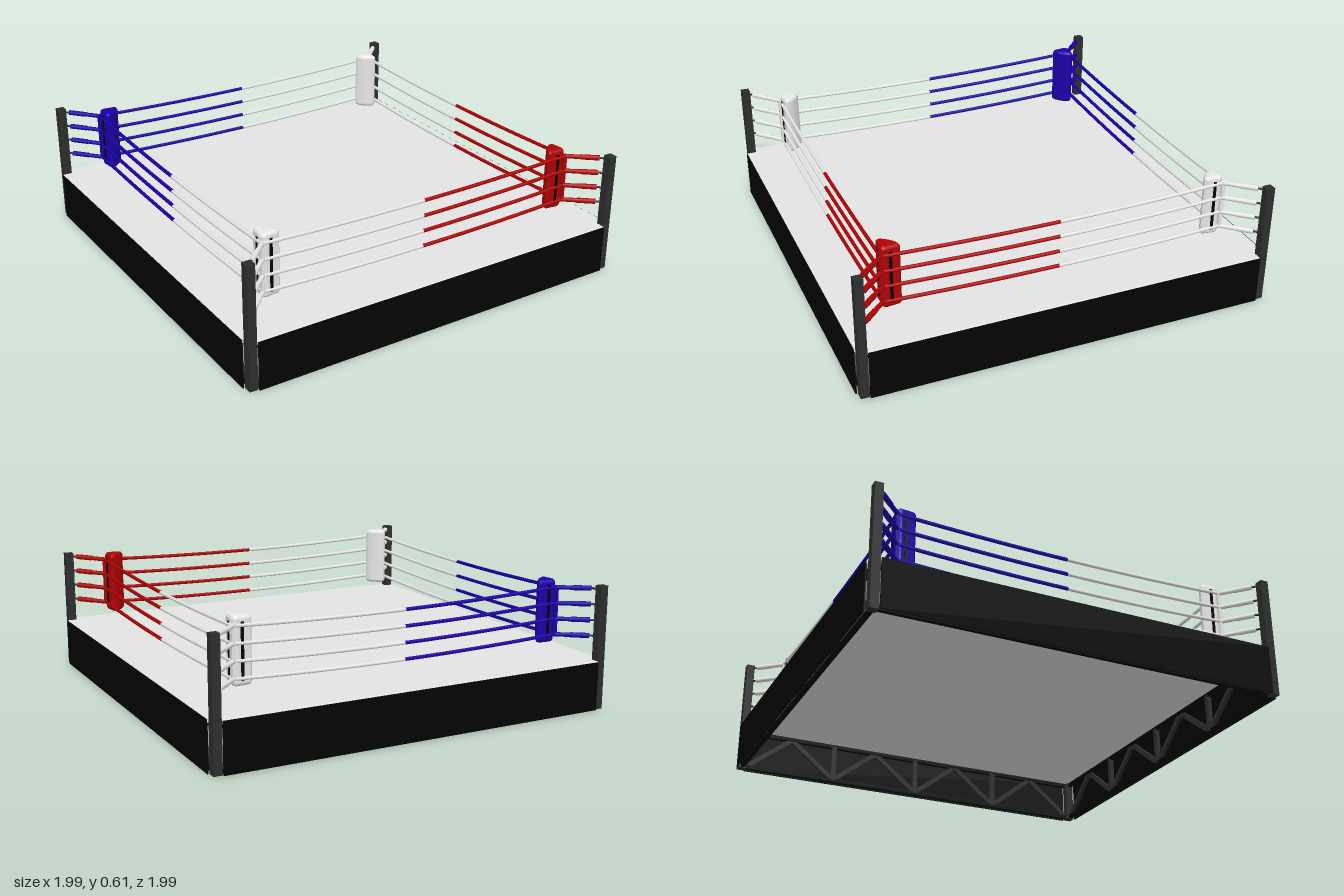
import * as THREE from 'three';

const mat = (name, color) => {
  const m = new THREE.MeshStandardMaterial({ color });
  m.name = name;
  return m;
};

export function createModel() {
  const canvas = mat('canvas grey', 0xe4e4e4);
  const white = mat('white', 0xececec);
  const red = mat('red', 0xb00303);
  const blue = mat('blue', 0x1c00a8);
  const black = mat('skirt black', 0x040404);
  const steel = mat('dark steel', 0x2e2e2e);

  const ring = new THREE.Group();
  ring.name = 'boxingRing';

  const add = (parent, name, geometry, material) => {
    const mesh = new THREE.Mesh(geometry, material);
    mesh.name = name;
    parent.add(mesh);
    return mesh;
  };
  const box = (parent, name, material, size, pos) => {
    const mesh = add(parent, name, new THREE.BoxGeometry(...size), material);
    mesh.position.set(...pos);
    return mesh;
  };
  const rod = (parent, name, material, a, b, r) => {
    const from = new THREE.Vector3(...a), to = new THREE.Vector3(...b);
    const dir = to.clone().sub(from);
    const mesh = add(parent, name, new THREE.CylinderGeometry(r, r, dir.length(), 10), material);
    mesh.position.copy(from).add(to).multiplyScalar(0.5);
    mesh.quaternion.setFromUnitVectors(new THREE.Vector3(0, 1, 0), dir.normalize());
    return mesh;
  };
  // Extrudes a ground plan (x, z) upwards with softened edges
  const slab = (points, y0, y1, bevel, segments) => {
    const shape = new THREE.Shape(points.map(([x, z]) => new THREE.Vector2(x, -z)));
    const g = new THREE.ExtrudeGeometry(shape, {
      depth: y1 - y0 - 2 * bevel, bevelThickness: bevel, bevelSize: bevel,
      bevelOffset: -bevel, bevelSegments: segments,
    });
    g.rotateX(-Math.PI / 2);
    g.translate(0, y0 + bevel, 0);
    return g;
  };

  // Platform with a notch at each corner for the posts
  const e = 0.992, n = 0.945;
  const plan = [[n, e], [n, n], [e, n], [e, -n], [n, -n], [n, -e],
    [-n, -e], [-n, -n], [-e, -n], [-e, n], [-n, n], [-n, e]];
  add(ring, 'canvasPlatform', slab(plan, 0.213, 0.235, 0.004, 3), canvas);

  // One side: skirt and the truss behind it
  const buildSide = (k) => {
    const side = new THREE.Group();
    side.name = 'side' + k;
    side.rotation.y = k * Math.PI / 2;
    ring.add(side);
    box(side, 'skirt', black, [1.89, 0.231, 0.006], [0, 0.1155, 0.993]);
    const z = 0.965, half = 0.942, bays = 4, step = 2 * half / bays;
    for (const y of [0.012, 0.203]) box(side, 'trussRail', black, [2 * half, 0.02, 0.02], [0, y, z]);
    for (let i = 0; i < bays; i++) {
      const x = -half + i * step, mid = x + step / 2;
      if (i) box(side, 'trussUpright', steel, [0.026, 0.19, 0.022], [x, 0.108, z]);
      for (const end of [x, x + step]) {
        const brace = box(side, 'trussBrace', steel, [Math.hypot(0.185, step / 2), 0.025, 0.018],
          [(end + mid) / 2, 0.108, z]);
        brace.rotation.z = Math.atan2(0.185, mid - end);
      }
    }
  };

  // One corner: post, links, pad and the rope halves that meet there
  const heights = [0.344, 0.419, 0.494, 0.569];
  const r = 0.82;
  const padPlan = [[0.822, 0.8], [0.815, 0.815], [0.8, 0.822], [0.738, 0.815], [0.73, 0.805],
    [0.732, 0.792], [0.745, 0.77], [0.77, 0.745], [0.792, 0.732], [0.805, 0.73], [0.815, 0.738]];
  const padGeometry = slab(padPlan, 0.305, 0.606, 0.018, 5);

  const buildCorner = (k, color, name) => {
    const corner = new THREE.Group();
    corner.name = name;
    corner.rotation.y = k * Math.PI / 2;
    ring.add(corner);
    box(corner, 'post', steel, [0.04, 0.588, 0.04], [0.966, 0.294, 0.966]);
    add(corner, 'cornerPad', padGeometry, color);
    box(corner, 'padSpine', color, [0.018, 0.24, 0.018], [0.819, 0.455, 0.819]);
    // Dark lacing on the outer pad faces
    box(corner, 'padLacing', black, [0.014, 0.25, 0.009], [0.778, 0.455, 0.818]);
    box(corner, 'padLacing', black, [0.009, 0.25, 0.014], [0.818, 0.455, 0.778]);

    for (const y of heights) {
      rod(corner, 'linkBolt', steel, [0.952, y + 0.003, 0.952], [0.925, y + 0.003, 0.925], 0.005);
      rod(corner, 'linkSleeve', color, [0.933, y + 0.003, 0.933], [0.872, y, 0.872], 0.0125);
      rod(corner, 'linkEnd', color, [0.874, y, 0.874], [r - 0.004, y - 0.003, r - 0.004], 0.0105);
      // Sagging ropes, each running to the middle of its side
      for (const alongX of [true, false]) {
        const pts = [];
        for (let i = 0; i <= 6; i++) {
          const t = r * (1 - i / 6);
          const h = y - 0.021 + 0.019 * (t / r) ** 2;
          pts.push(alongX ? new THREE.Vector3(t, h, r) : new THREE.Vector3(r, h, t));
        }
        const curve = new THREE.CatmullRomCurve3(pts);
        add(corner, 'rope', new THREE.TubeGeometry(curve, 12, 0.0085, 8), color);
      }
    }
  };

  const corners = [[red, 'redCorner'], [white, 'whiteCornerBack'],
    [blue, 'blueCorner'], [white, 'whiteCornerFront']];
  corners.forEach(([color, name], k) => {
    buildSide(k);
    buildCorner(k, color, name);
  });
  return ring;
}
